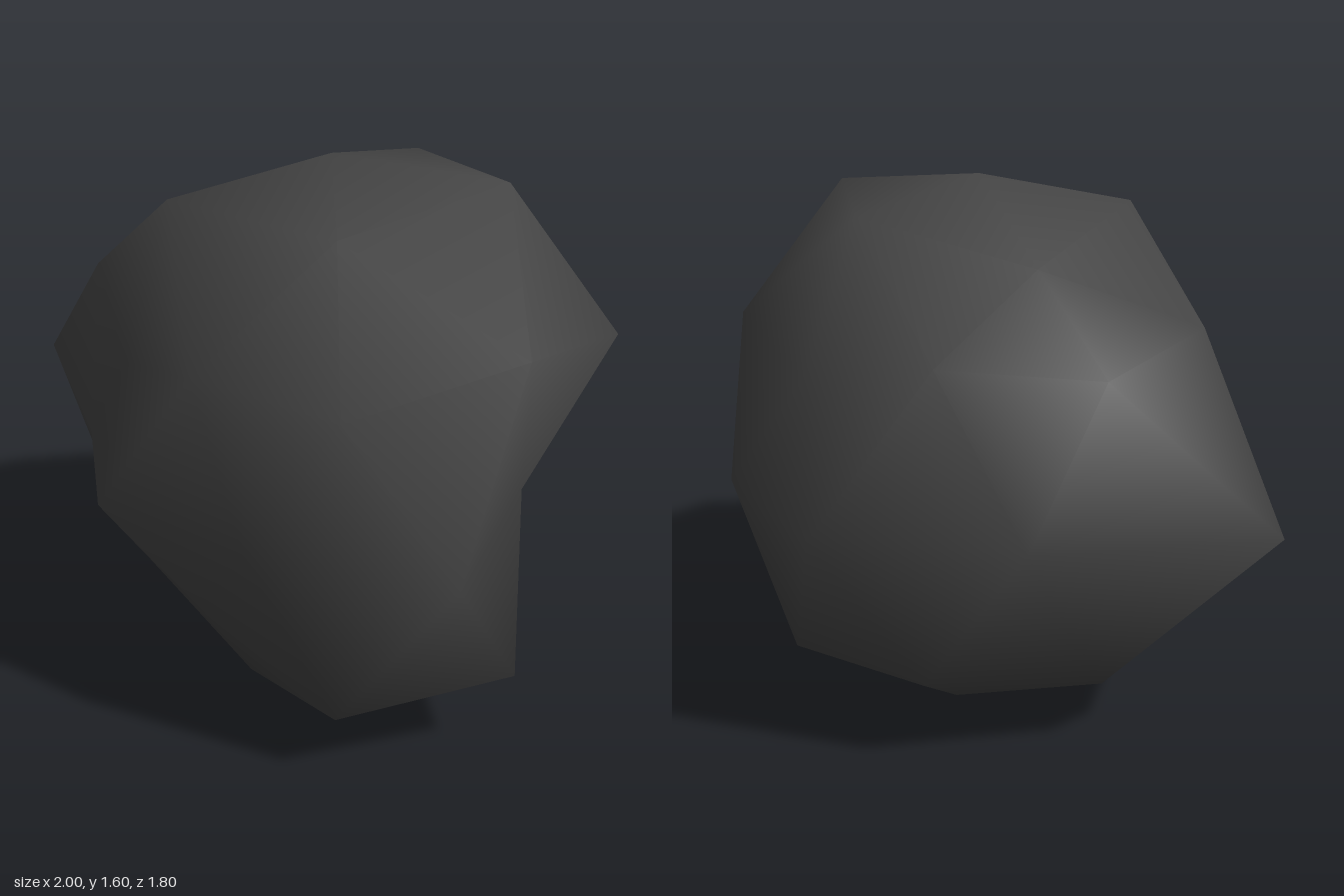
import * as THREE from 'three';
import { mergeVertices } from 'three/addons/utils/BufferGeometryUtils.js';

// Radii per ring of a once-subdivided icosahedron standing on a corner.
// y: height of the ring on the unit sphere, start/step: azimuth in degrees from +x toward +z.
const RINGS = [
  { y: 1.000, start: 0, step: 360, radii: [0.885] },
  { y: 0.851, start: 0, step: 72, radii: [0.988, 0.91, 0.93, 0.76, 0.94] },
  { y: 0.526, start: 36, step: 72, radii: [0.98, 0.78, 0.897, 0.82, 0.885] },
  { y: 0.447, start: 0, step: 72, radii: [0.955, 0.95, 0.71, 0.915, 0.79] },
  { y: 0.000, start: 18, step: 36, radii: [0.675, 0.985, 0.80, 0.82, 0.745, 1.205, 0.983, 0.987, 0.847, 0.70] },
  { y: -0.447, start: 36, step: 72, radii: [0.965, 0.718, 0.84, 0.985, 0.737] },
  { y: -0.526, start: 0, step: 72, radii: [0.64, 0.947, 0.69, 0.963, 0.912] },
  { y: -0.851, start: 36, step: 72, radii: [0.745, 0.787, 0.665, 0.835, 0.64] },
  { y: -1.000, start: 0, step: 360, radii: [0.60] },
];

function radiusAt(v) {
  const ring = RINGS.reduce((a, b) => (Math.abs(b.y - v.y) < Math.abs(a.y - v.y) ? b : a));
  const n = ring.radii.length;
  const azimuth = THREE.MathUtils.radToDeg(Math.atan2(v.z, v.x));
  const i = Math.round((azimuth - ring.start) / ring.step);
  return ring.radii[((i % n) + n) % n];
}

export function createModel() {
  const group = new THREE.Group();
  group.name = 'boulder';
  const stone = new THREE.MeshStandardMaterial({ color: 0x444444 });
  stone.name = 'dark stone';

  // Shared corners, so that the surface shades smoothly
  let geometry = new THREE.IcosahedronGeometry(1, 1);
  geometry.deleteAttribute('uv');
  geometry.deleteAttribute('normal');
  geometry = mergeVertices(geometry, 1e-3);

  // Tip one corner to the top
  geometry.rotateZ(-Math.atan(2 / (1 + Math.sqrt(5))));

  // Push every corner in or out along its own direction
  const position = geometry.attributes.position;
  const v = new THREE.Vector3();
  for (let i = 0; i < position.count; i++) {
    v.fromBufferAttribute(position, i).normalize();
    v.multiplyScalar(radiusAt(v));
    position.setXYZ(i, v.x, v.y, v.z);
  }
  geometry.translate(0.145, 0.715, 0.087);
  geometry.computeVertexNormals();

  const rock = new THREE.Mesh(geometry, stone);
  rock.name = 'rock';
  group.add(rock);
  return group;
}
